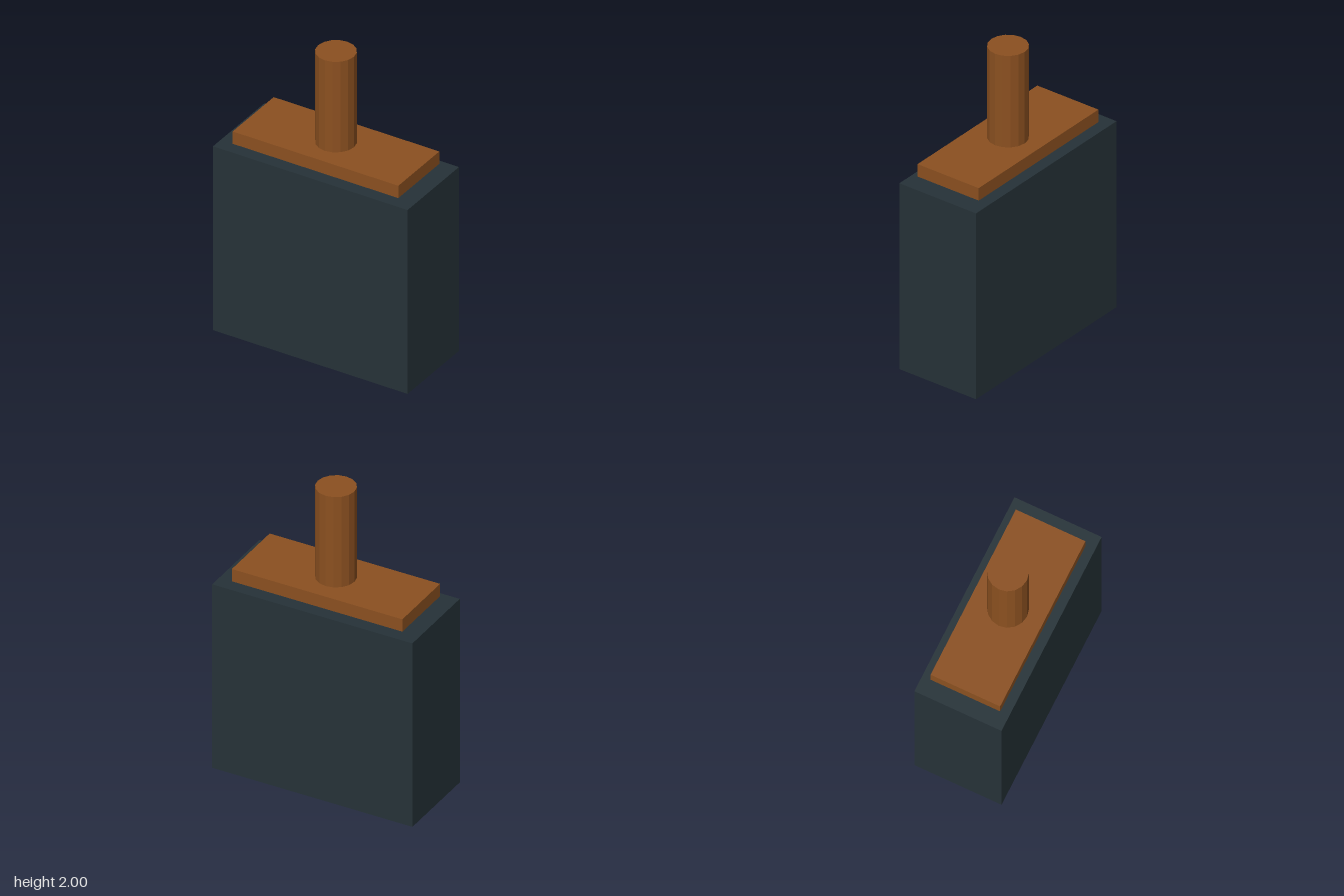
import * as THREE from 'three';

export function createModel() {
  const model = new THREE.Group();
  const wood = new THREE.MeshStandardMaterial({ color: 0x8b5020, flatShading: true });
  const dark = new THREE.MeshStandardMaterial({ color: 0x263238, flatShading: true });

  // Adds a named part spanning bottom to top on the vertical axis
  const add = (name, geometry, material, bottom, top) => {
    const mesh = new THREE.Mesh(geometry, material);
    mesh.name = name;
    mesh.position.y = (bottom + top) / 2;
    model.add(mesh);
  };

  // Heavy block
  add('body', new THREE.BoxGeometry(1.35, 1.27, 0.57), dark, 0, 1.27);

  // Flat plate floating just above the block
  add('plate', new THREE.BoxGeometry(1.15, 0.085, 0.455), wood, 1.29, 1.375);

  // Round handle passing through the plate into the block
  add('handle', new THREE.CylinderGeometry(0.124, 0.124, 0.74, 16), wood, 1.26, 2);

  return model;
}
